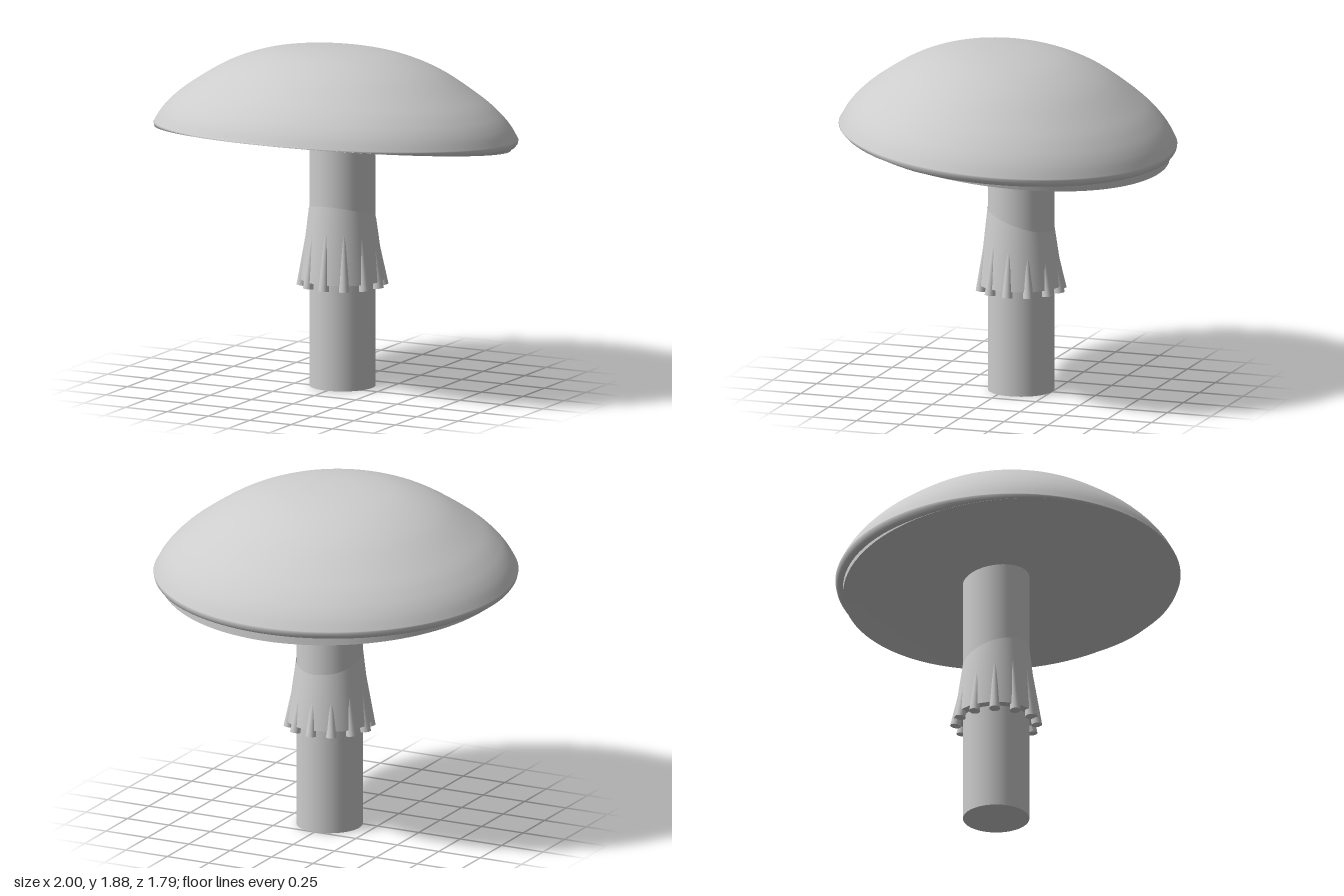
import * as THREE from 'three';
import { mergeVertices } from 'three/addons/utils/BufferGeometryUtils.js';

const STEM_Z = -0.075;

// Height of the tilted plane on which the cap's rim lies
const rimPlane = (z) => 1.362 + 0.137 * z;

// Moves each vertex by a rule, then welds and smooths the surface
function reshape(geometry, rule) {
  const p = geometry.attributes.position;
  const v = new THREE.Vector3();
  for (let i = 0; i < p.count; i++) {
    v.fromBufferAttribute(p, i);
    rule(v);
    p.setXYZ(i, v.x, v.y, v.z);
  }
  geometry.deleteAttribute('uv');
  geometry.deleteAttribute('normal');
  const welded = mergeVertices(geometry, 1e-5);
  welded.computeVertexNormals();
  return welded;
}

const lathe = (points) =>
  new THREE.LatheGeometry(points.map(([r, y]) => new THREE.Vector2(r, y)), 96);

export function createModel() {
  const group = new THREE.Group();
  const grey = new THREE.MeshStandardMaterial({ color: 0xcccccc });
  grey.name = 'pale grey';
  grey.side = THREE.DoubleSide;

  const add = (name, geometry, parent = group) => {
    const mesh = new THREE.Mesh(geometry, grey);
    mesh.name = name;
    parent.add(mesh);
    return mesh;
  };

  // Stem
  add('stem', new THREE.CylinderGeometry(0.178, 0.178, 1.45, 64)).position.set(0, 0.725, STEM_Z);

  // Cap dome: smooth profile with a rolled rim, leaning back, trimmed by the rim plane
  const crown = new THREE.SplineCurve([
    [1, 1.405], [0.96, 1.472], [0.9, 1.54], [0.8, 1.622], [0.6, 1.748],
    [0.4, 1.825], [0.2, 1.861], [0, 1.871],
  ].map(([r, y]) => new THREE.Vector2(r, y))).getPoints(48).map((p) => [Math.max(p.x, 0), p.y]);
  const roll = [[0.95, 1.364], [0.972, 1.366], [0.986, 1.373], [0.996, 1.387]];
  add('capDome', reshape(lathe([...roll, ...crown]), (v) => {
    v.z *= 0.895;
    v.y = Math.max(v.y + 0.0866 * v.z, rimPlane(v.z) + 0.002);
  }));

  // Slightly hollow underside of the cap
  const hollow = [];
  for (let i = 0; i <= 10; i++) hollow.push([i / 10, 0.055 * (1 - (i / 10) ** 2)]);
  const toRim = (v) => {
    v.x *= 0.965;
    v.z = v.z * 0.873 + 0.018;
  };
  add('capUnderside', reshape(lathe(hollow), (v) => {
    toRim(v);
    v.y += rimPlane(v.z);
  }));

  // Lip that grows from nothing at the front to its full height at the back
  add('capLip', reshape(lathe([[1, 0], [1, 1]]), (v) => {
    toRim(v);
    const bottom = rimPlane(v.z);
    v.y = v.y > 0.5 ? Math.max(bottom + 0.001, 1.37 + 0.0866 * v.z) : bottom;
  }));

  // Skirt: flared ring whose top edge is higher at the front
  const ring = new THREE.Group();
  ring.name = 'ring';
  ring.position.z = STEM_Z;
  group.add(ring);
  add('skirt', reshape(new THREE.CylinderGeometry(0.18, 0.226, 1, 64, 1, true), (v) => {
    v.y = v.y > 0 ? 0.945 + 0.33 * v.z : 0.585;
  }), ring);
  const base = add('skirtBase', new THREE.RingGeometry(0.17, 0.226, 64), ring);
  base.rotation.x = Math.PI / 2;
  base.position.y = 0.585;

  // Twelve tapered fringes around the skirt
  const up = new THREE.Vector3(0, 1, 0);
  for (let i = 0; i < 12; i++) {
    const a = (i * Math.PI) / 6;
    const at = (r, y) => new THREE.Vector3(Math.sin(a) * r, y, Math.cos(a) * r);
    const low = at(0.218, 0.55);
    const high = at(0.178, 0.86 + 0.06 * Math.cos(a));
    const fringe = add('fringe', new THREE.CylinderGeometry(0.008, 0.029, low.distanceTo(high), 20), ring);
    fringe.position.copy(low).add(high).multiplyScalar(0.5);
    fringe.quaternion.setFromUnitVectors(up, high.sub(low).normalize());
  }

  return group;
}
